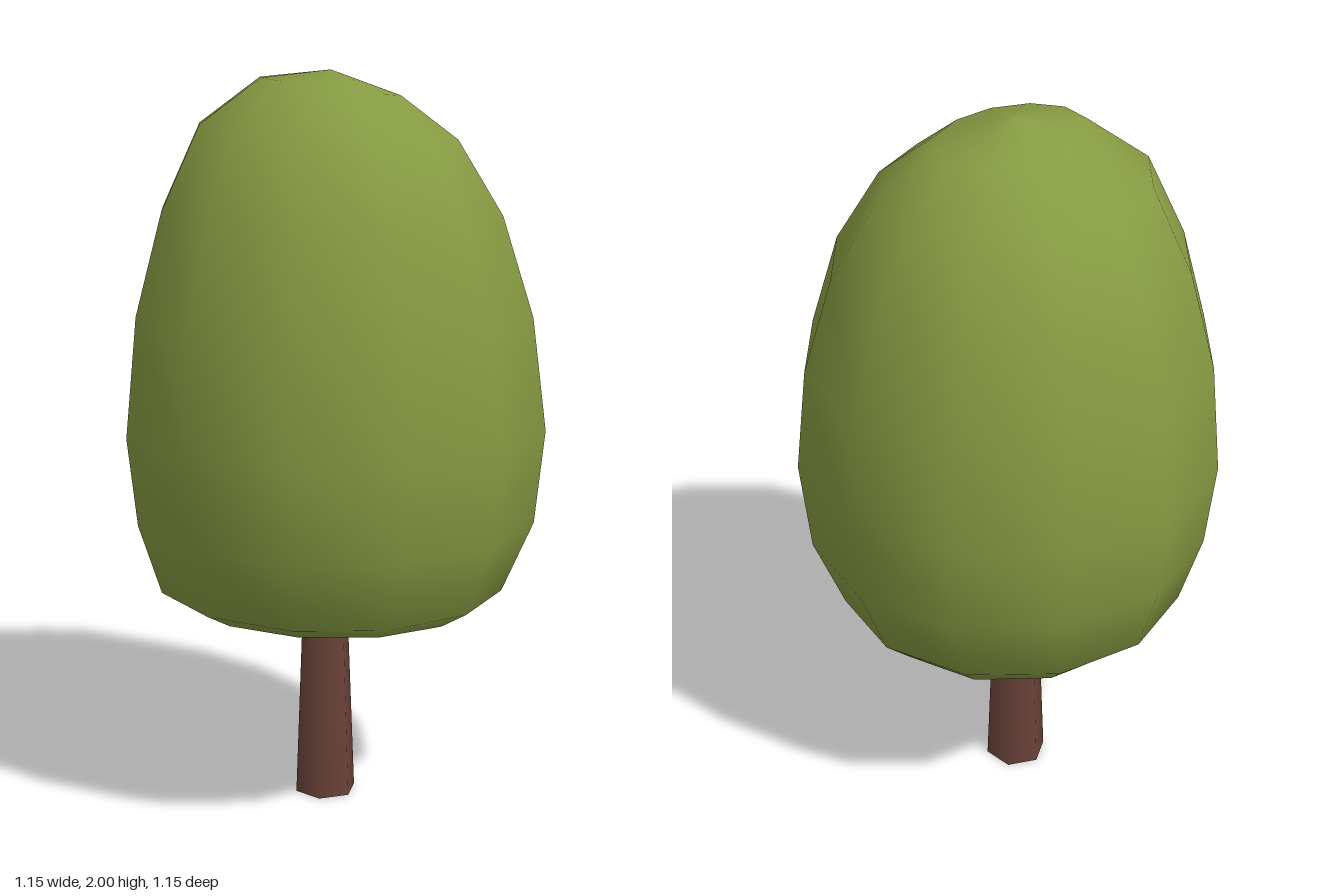
import * as THREE from 'three';

const SIDES = 12;

// Crown rings, bottom to top: [radius, height, centre x, centre z, tilt along x, tilt along z]
const RINGS = [
  [0.395, 0.562, -0.02, -0.005, 0.0, 0.03],
  [0.475, 0.62, -0.015, 0.0, -0.015, 0.0],
  [0.547, 0.815, 0.0, 0.0, -0.01, 0.0],
  [0.573, 1.06, 0.0, 0.0, 0.0, -0.01],
  [0.54, 1.365, -0.018, -0.015, 0.0, 0.015],
  [0.463, 1.63, -0.035, -0.025, 0.0, 0.02],
  [0.35, 1.84, -0.045, -0.025, -0.03, 0.056],
  [0.19, 1.957, -0.035, -0.025, -0.09, 0.09],
  [0, 2.0, -0.033, -0.025, 0, 0],
];

// Open-bottomed leafy shell: a lathe whose rings are shifted and tilted a little
function makeCrown(material) {
  const profile = RINGS.map(([r, y]) => new THREE.Vector2(r, y));
  const geometry = new THREE.LatheGeometry(profile, SIDES);
  const pos = geometry.attributes.position;
  for (let i = 0; i < pos.count; i++) {
    const [, y, cx, cz, tiltX, tiltZ] = RINGS[i % RINGS.length];
    const x = pos.getX(i);
    const z = pos.getZ(i);
    pos.setXYZ(i, x + cx, y + tiltX * x + tiltZ * z, z + cz);
  }
  const crown = new THREE.Mesh(geometry, material);
  crown.name = 'crown';
  return crown;
}

// Tapered six-sided trunk that runs up inside the crown
function makeTrunk(material) {
  const height = 1.0;
  const geometry = new THREE.CylinderGeometry(0.047, 0.086, height, 6);
  geometry.rotateY(Math.PI / 6);
  geometry.translate(0, height / 2, 0);
  const trunk = new THREE.Mesh(geometry, material);
  trunk.name = 'trunk';
  trunk.position.set(-0.035, 0, -0.003);
  return trunk;
}

export function createModel() {
  const leafGreen = new THREE.MeshStandardMaterial({ color: 0x869a42, side: THREE.DoubleSide });
  leafGreen.name = 'leaf green';
  const barkBrown = new THREE.MeshStandardMaterial({ color: 0x6a4239 });
  barkBrown.name = 'bark brown';

  const tree = new THREE.Group();
  tree.name = 'tree';
  tree.add(makeTrunk(barkBrown), makeCrown(leafGreen));
  return tree;
}
